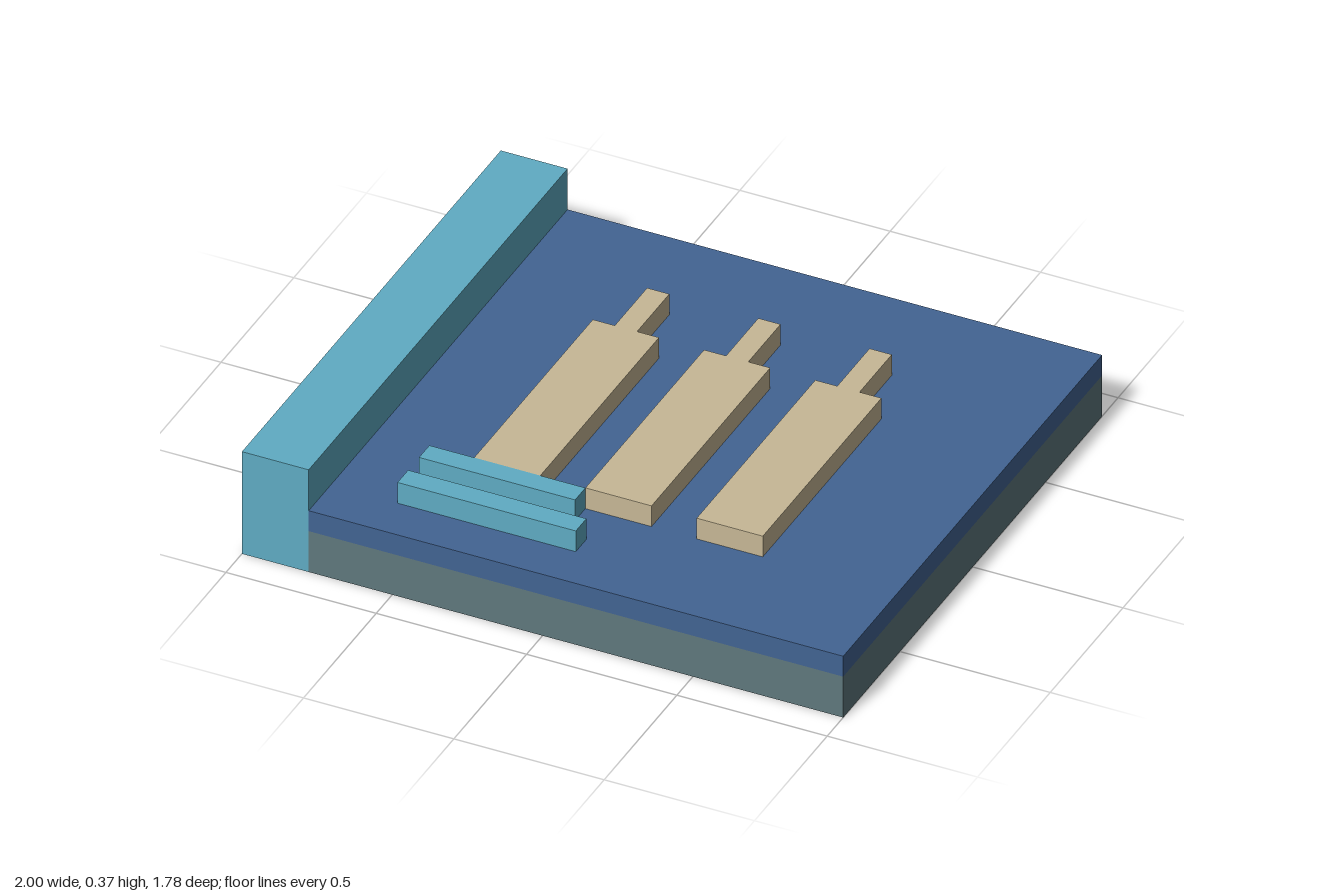
import * as THREE from 'three';

const material = (color) => new THREE.MeshStandardMaterial({ color });
const teal = material(0x5facc3);
const blue = material(0x426493);
const slate = material(0x5f787d);
const tan = material(0xc7b896);

// Box given by its limits on each axis
function block(name, mat, [x0, x1], [y0, y1], [z0, z1]) {
  const mesh = new THREE.Mesh(new THREE.BoxGeometry(x1 - x0, y1 - y0, z1 - z0), mat);
  mesh.name = name;
  mesh.position.set((x0 + x1) / 2, (y0 + y1) / 2, (z0 + z1) / 2);
  return mesh;
}

export function createModel() {
  const model = new THREE.Group();
  model.name = 'slabWithReliefs';

  const depth = [-0.89, 0.89];
  const top = 0.222, reliefTop = 0.297, edge = -0.778;

  // Layered slab and the raised rail along its right side
  model.add(
    block('baseLayer', slate, [edge, 1], [0, 0.148], depth),
    block('topLayer', blue, [edge, 1], [0.148, top], depth),
    block('sideRail', teal, [-1, edge], [0, 0.37], depth),
  );

  // Two thin strips near the front
  model.add(
    block('backStrip', teal, [-0.556, -0.037], [top, reliefTop], [0.519, 0.59]),
    block('frontStrip', teal, [-0.556, 0.037], [top, reliefTop], [0.665, 0.738]),
  );

  // Three bottle-shaped plates, each a wide body with a narrow neck to the back.
  // The outline's y axis becomes -z once laid flat.
  const outline = new THREE.Shape([
    [-0.11, -0.519], [0.11, -0.519], [0.11, 0.297], [0.037, 0.297],
    [0.037, 0.519], [-0.037, 0.519], [-0.037, 0.297], [-0.11, 0.297],
  ].map(([x, y]) => new THREE.Vector2(x, y)));
  const plate = new THREE.ExtrudeGeometry(outline, { depth: reliefTop - top, bevelEnabled: false });
  plate.rotateX(-Math.PI / 2);

  ['right', 'middle', 'left'].forEach((side, i) => {
    const mesh = new THREE.Mesh(plate, tan);
    mesh.name = `${side}Plate`;
    mesh.position.set(-0.297 + 0.37 * i, top, 0);
    model.add(mesh);
  });

  return model;
}
